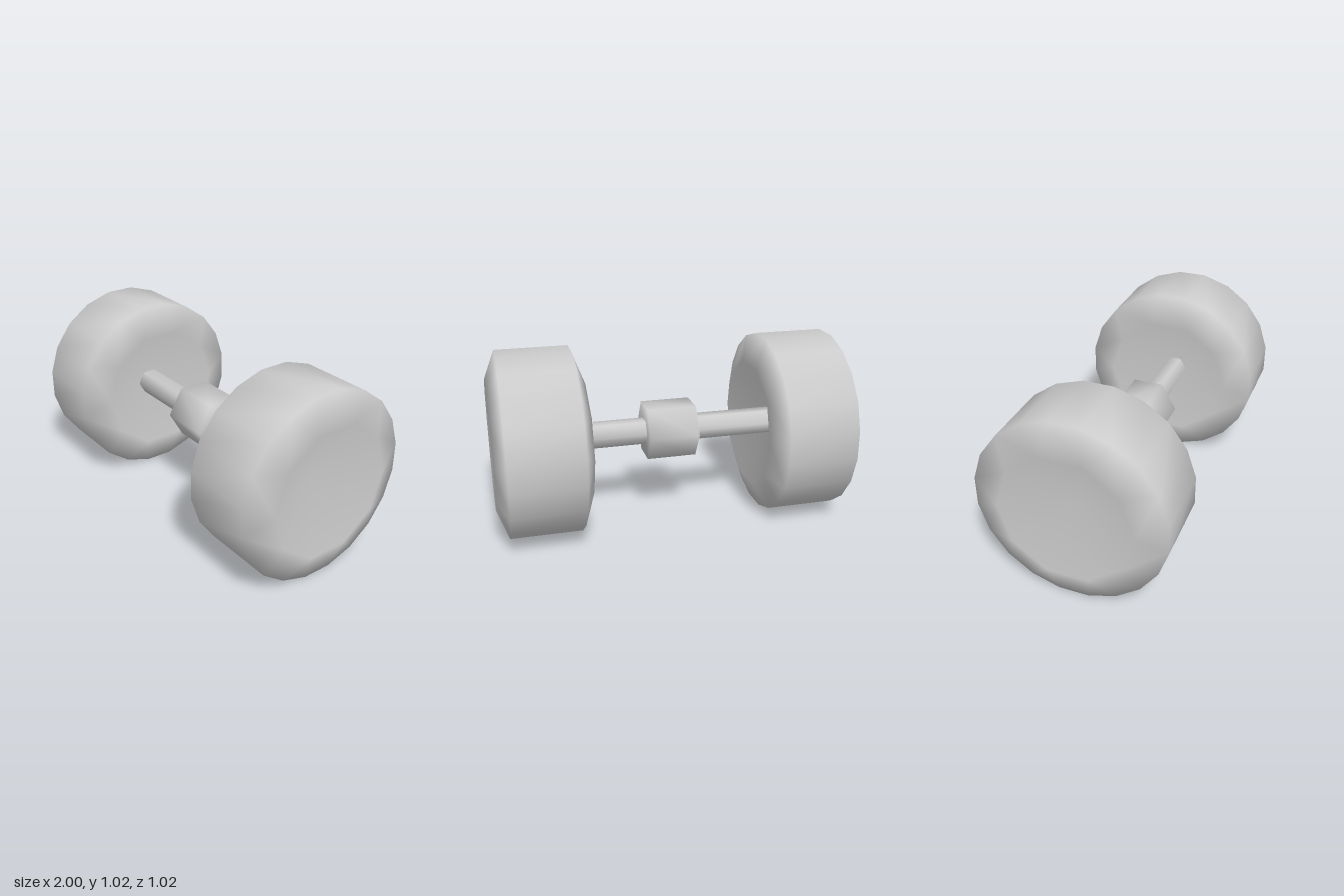
import * as THREE from 'three';
import { mergeVertices } from 'three/addons/utils/BufferGeometryUtils.js';

const AXIS_Y = 0.51;
const material = new THREE.MeshStandardMaterial({ color: 0xcccccc });

// Weight head: a 20-sided rim whose bevels run down to 10-sided lips,
// with both end faces dished in to a point on the axis
function weightGeometry() {
  const half = 0.259, rimHalf = 0.198, rimR = 0.516, faceR = 0.36, dish = 0.17, n = 10;
  const pos = [], idx = [];
  const ring = (x, r, count, offset) => {
    const start = pos.length / 3;
    for (let i = 0; i < count; i++) {
      const a = (i / count) * Math.PI * 2 + offset;
      pos.push(x, Math.sin(a) * r, Math.cos(a) * r);
    }
    return start;
  };
  const rims = [], m = n * 2;
  for (const s of [-1, 1]) {
    // flip the winding on the +x end
    const tri = (a, b, c) => (s > 0 ? idx.push(a, c, b) : idx.push(a, b, c));
    const face = ring(s * half, faceR, n, 0);
    const rim = ring(s * rimHalf, rimR, m, -Math.PI / m);
    const centre = pos.length / 3;
    pos.push(s * (half - dish), 0, 0);
    rims.push(rim);
    for (let i = 0; i < n; i++) {
      const f0 = face + i, f1 = face + (i + 1) % n;
      const r0 = rim + i * 2, r1 = r0 + 1, r2 = rim + (i * 2 + 2) % m;
      tri(centre, f0, f1);
      tri(f0, r0, r1);
      tri(f0, r1, r2);
      tri(f0, r2, f1);
    }
  }
  // tread between the two rims
  for (let i = 0; i < m; i++) {
    const j = (i + 1) % m, [a, b] = rims;
    idx.push(a + i, b + i, b + j, a + i, b + j, a + j);
  }
  const g = new THREE.BufferGeometry();
  g.setAttribute('position', new THREE.Float32BufferAttribute(pos, 3));
  g.setIndex(idx);
  g.computeVertexNormals();
  return g;
}

// Six-sided rod along x with smoothly blended edges
function hexRod(radius, length) {
  let g = new THREE.CylinderGeometry(radius, radius, length, 6);
  g.rotateZ(Math.PI / 2);
  g.deleteAttribute('uv');
  g.deleteAttribute('normal');
  g = mergeVertices(g, 1e-4);
  g.computeVertexNormals();
  return g;
}

export function createModel() {
  const model = new THREE.Group();
  model.name = 'dumbbell';
  const add = (name, geometry, x, y, z) => {
    const mesh = new THREE.Mesh(geometry, material);
    mesh.name = name;
    mesh.position.set(x, y, z);
    model.add(mesh);
  };

  // Heads
  const weight = weightGeometry();
  add('leftWeight', weight, 0.741, AXIS_Y, 0);
  add('rightWeight', weight, -0.741, AXIS_Y, 0);

  // Handle, running into the dished faces, and centre grip
  add('bar', hexRod(0.076, 1.36), 0, AXIS_Y + 0.002, 0.004);
  add('grip', hexRod(0.168, 0.28), -0.002, AXIS_Y + 0.005, 0.004);
  return model;
}
